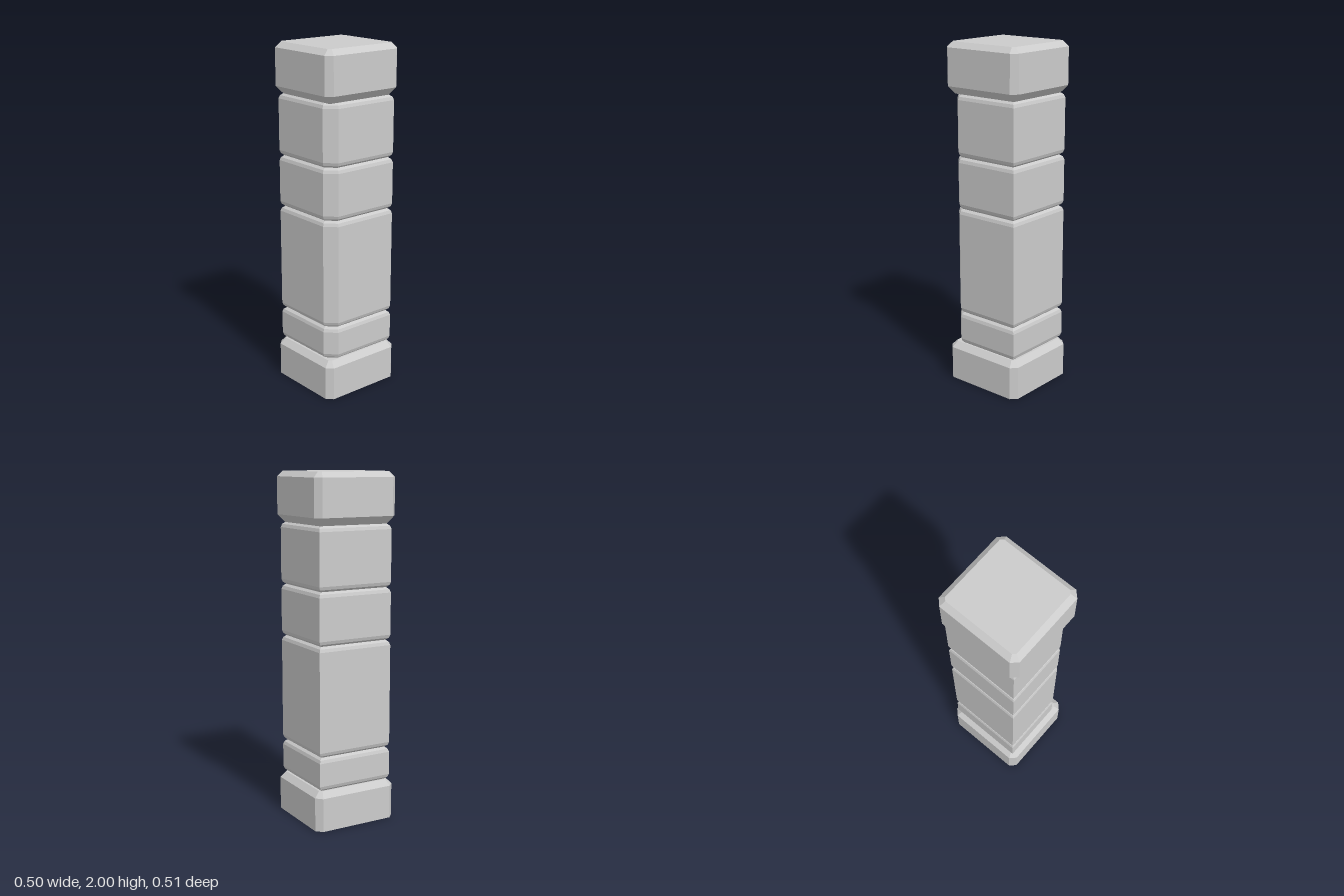
import * as THREE from 'three';

const material = new THREE.MeshStandardMaterial({ color: 0xcccccc, flatShading: true });

// Corners in order, counter-clockwise seen from above
const CORNERS = [[1, 1], [1, -1], [-1, -1], [-1, 1]];

// Rectangular ring shrunk by `inset`; each corner has its own cut (0 = sharp)
function ring(halfX, halfZ, cuts, inset, y) {
  const x = halfX - inset, z = halfZ - inset, points = [];
  CORNERS.forEach(([sx, sz], i) => {
    if (!cuts[i]) return points.push([sx * x, y, sz * z]);
    const c = cuts[i] - inset * (2 - Math.SQRT2);
    const pair = [[sx * (x - c), y, sz * z], [sx * x, y, sz * (z - c)]];
    if (sx * sz < 0) pair.reverse();
    points.push(...pair);
  });
  return points;
}

// Closed block built from [inset, y] levels, bottom to top
function block(name, halfX, halfZ, cuts, levels) {
  const rings = levels.map(([inset, y]) => ring(halfX, halfZ, cuts, inset, y));
  const n = rings[0].length, pos = [];
  const tri = (a, b, c) => pos.push(...a, ...b, ...c);
  for (let k = 0; k < rings.length - 1; k++) {
    const lo = rings[k], hi = rings[k + 1];
    for (let i = 0; i < n; i++) {
      const j = (i + 1) % n;
      tri(lo[i], lo[j], hi[j]);
      tri(lo[i], hi[j], hi[i]);
    }
  }
  const bottom = rings[0], top = rings[rings.length - 1];
  for (let i = 1; i < n - 1; i++) {
    tri(bottom[0], bottom[i + 1], bottom[i]);
    tri(top[0], top[i], top[i + 1]);
  }
  const geometry = new THREE.BufferGeometry();
  geometry.setAttribute('position', new THREE.Float32BufferAttribute(pos, 3));
  geometry.computeVertexNormals();
  const mesh = new THREE.Mesh(geometry, material);
  mesh.name = name;
  return mesh;
}

export function createModel() {
  const pillar = new THREE.Group();
  pillar.name = 'pillar';
  const allCut = [0.034, 0.034, 0.034, 0.034];

  // Base with a sloped upper edge
  pillar.add(block('base', 0.248, 0.256, allCut, [[0, 0], [0, 0.195], [0.032, 0.229]]));

  // Shaft stones with rounded joints; only the front left corner is cut
  const joints = [0.229, 0.424, 1.057, 1.358, 1.713];
  for (let i = 0; i < joints.length - 1; i++) {
    const lo = joints[i], hi = joints[i + 1];
    pillar.add(block('shaftStone' + (i + 1), 0.225, 0.23, [0.06, 0, 0, 0], [
      [0.02, lo], [0.006, lo + 0.012], [0, lo + 0.03],
      [0, hi - 0.03], [0.006, hi - 0.012], [0.02, hi],
    ]));
  }

  // Capital, sloped above and below
  pillar.add(block('capital', 0.248, 0.256, allCut,
    [[0.04, 1.713], [0, 1.757], [0, 1.969], [0.032, 2]]));
  return pillar;
}
